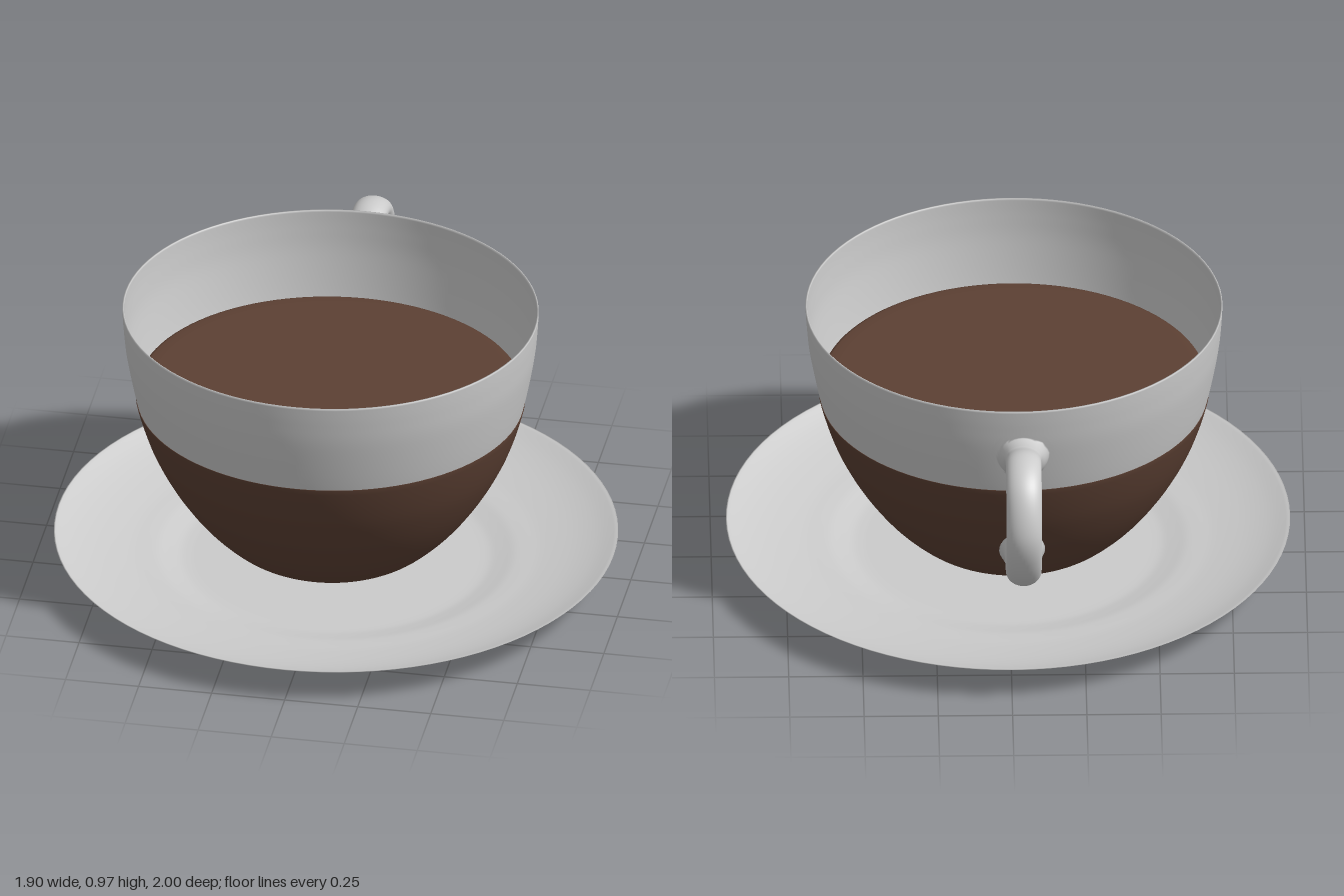
import * as THREE from 'three';
import { ParametricGeometry } from 'three/addons/geometries/ParametricGeometry.js';

const CUP_X = -0.02, CUP_Z = 0.043, Z_SCALE = 0.95;

// Outer profile of the cup: [radius, height]
const wall = [
  [0.17, 0.025], [0.225, 0.04], [0.295, 0.07], [0.36, 0.115], [0.443, 0.2], [0.516, 0.3], [0.573, 0.4],
  [0.616, 0.5], [0.654, 0.63], [0.687, 0.8], [0.698, 0.9], [0.702, 0.97],
];
const wallCurve = new THREE.SplineCurve(wall.map(([r, y]) => new THREE.Vector2(r, y)));
const wallPoints = wallCurve.getPoints(66);

// Cup radius at a height
function radiusAt(y) {
  for (let i = 1; i < wallPoints.length; i++) {
    const a = wallPoints[i - 1], b = wallPoints[i];
    if (y <= b.y) return THREE.MathUtils.mapLinear(Math.max(y, a.y), a.y, b.y, a.x, b.x);
  }
  return 0.702;
}

function createMesh(name, geometry, color = 0xcccccc) {
  const material = new THREE.MeshStandardMaterial({ color, side: THREE.DoubleSide });
  const mesh = new THREE.Mesh(geometry, material);
  mesh.name = name;
  return mesh;
}

function lathe(points) {
  return new THREE.LatheGeometry(points.map((p) => new THREE.Vector2(...p)), 96);
}

// Smooth curve through [radius, height] points
function smooth(points) {
  const curve = new THREE.SplineCurve(points.map((p) => new THREE.Vector2(...p)));
  return curve.getPoints(points.length * 4).map((p) => [p.x, p.y]);
}

// Oval tube in the plane of the cup's back, flared where it meets the wall
function handleGeometry() {
  const path = new THREE.CatmullRomCurve3([
    [0.795, -0.54], [0.795, -0.61], [0.825, -0.69], [0.864, -0.79], [0.825, -0.893], [0.69, -0.955],
    [0.57, -0.925], [0.475, -0.84], [0.405, -0.69], [0.36, -0.565], [0.338, -0.47], [0.33, -0.4],
  ].map(([y, z]) => new THREE.Vector3(0, y, z)));

  return new ParametricGeometry((u, v, target) => {
    const t = THREE.MathUtils.clamp(u, 0, 1);
    const c = path.getPointAt(t), d = path.getTangentAt(t);
    const top = Math.exp(-((t / 0.07) ** 2)), bottom = Math.exp(-(((1 - t) / 0.07) ** 2));
    const wide = 0.06 + 0.045 * top + 0.025 * bottom;
    const deep = 0.04 + 0.018 * THREE.MathUtils.smoothstep(t, 0.5, 0.75) + 0.09 * top + 0.065 * bottom;
    const angle = v * Math.PI * 2;
    const x = wide * Math.cos(angle), n = deep * Math.sin(angle);
    const y = c.y - d.z * n;
    let z = c.z + d.y * n;
    // Keep the ends from poking through the cup wall
    const r = radiusAt(y) + 0.001, dx = x - 0.02;
    z = Math.min(z, CUP_Z - Z_SCALE * Math.sqrt(Math.max(r * r - dx * dx, 0)));
    target.set(x - 0.04, y, z);
  }, 120, 32);
}

export function createModel() {
  const group = new THREE.Group();

  // Saucer with a shallow foot and a softly sunken well
  const saucer = createMesh('saucer', lathe([
    [0, 0], [0.49, 0],
    ...smooth([[0.505, 0.001], [0.525, 0.01], [0.56, 0.017], [0.63, 0.022], [0.7, 0.032],
      [0.8, 0.055], [0.88, 0.082], [0.945, 0.113]]),
    [0.95, 0.117],
    ...smooth([[0.945, 0.117], [0.88, 0.092], [0.8, 0.07], [0.7, 0.051], [0.64, 0.044],
      [0.6, 0.039], [0.56, 0.03], [0.52, 0.022], [0.48, 0.02]]),
    [0, 0.02],
  ]));
  saucer.position.z = 0.05;
  group.add(saucer);

  // Thin-walled cup body
  const cup = new THREE.Group();
  cup.name = 'cup';
  const outer = wallPoints.map((p) => [p.x, p.y]);
  const inner = outer.map(([r, y]) => [r - 0.005, Math.max(y, 0.035)]).reverse();
  cup.add(createMesh('cupBody', lathe([[0, 0.022], ...outer, ...inner, [0, 0.035]])));

  // Brown lower band on the outside of the wall
  const bandTop = 0.627;
  const band = outer.filter(([, y]) => y < bandTop - 0.003).map(([r, y]) => [r + 0.003, y]);
  cup.add(createMesh('lowerBand', lathe([
    [0, 0.0215], ...band, [radiusAt(bandTop) + 0.003, bandTop], [radiusAt(bandTop), bandTop],
  ]), 0x5c4033));

  // Coffee surface with a rounded edge
  cup.add(createMesh('coffee', lathe([
    [0.646, 0.635], [0.652, 0.652], [0.649, 0.66], [0.638, 0.665], [0.6, 0.666], [0, 0.666],
  ]), 0x5c4033));
  cup.position.set(CUP_X, 0, CUP_Z);
  cup.scale.z = Z_SCALE;
  group.add(cup);

  group.add(createMesh('handle', handleGeometry()));
  return group;
}
